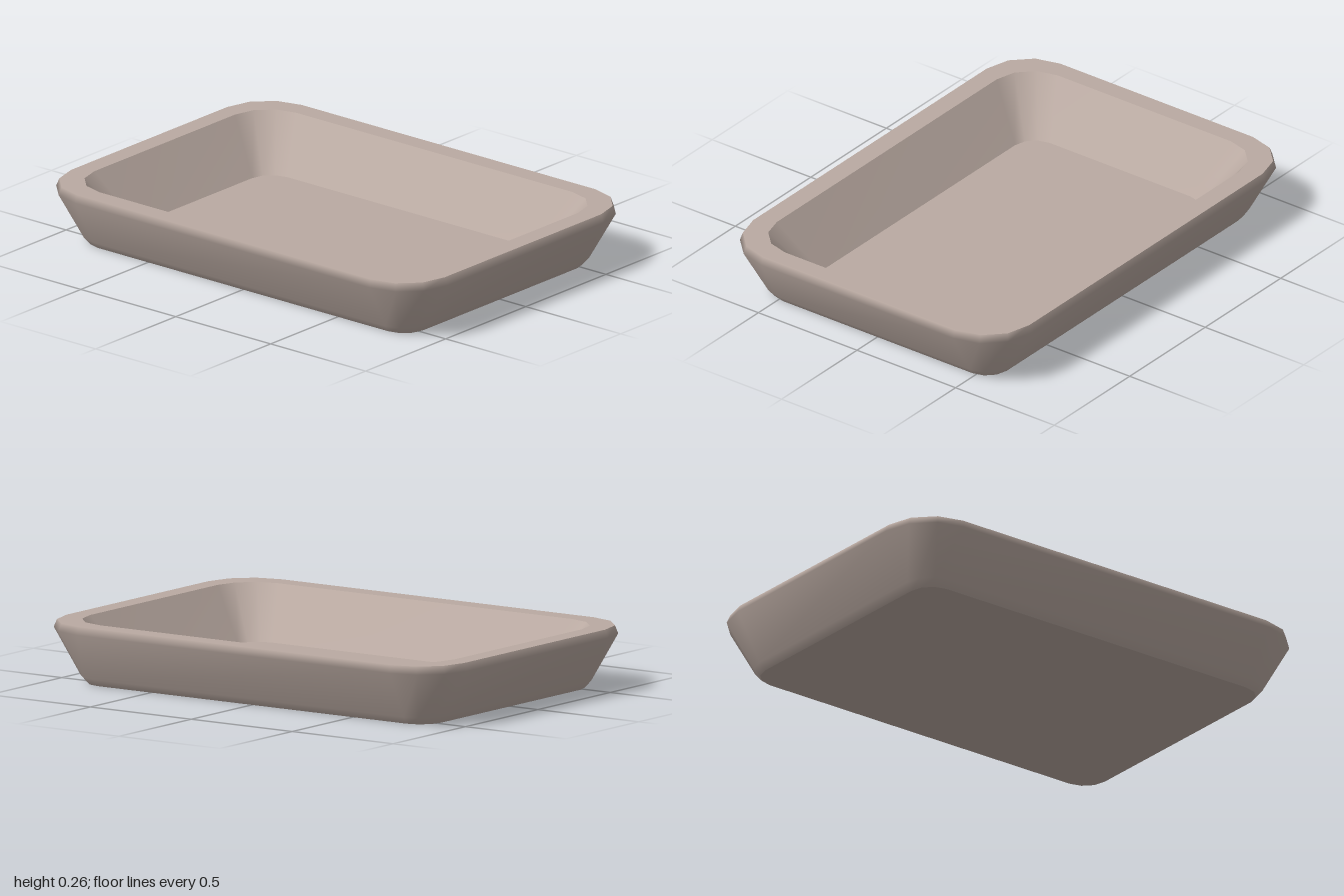
import * as THREE from 'three';

const CORNER_STEPS = 3;

// Rounded rectangle outline at height y, with half sizes hx, hz and corner radius r
function ring([y, hx, hz, r]) {
  const points = [];
  for (let q = 0; q < 4; q++) {
    const sx = q === 0 || q === 3 ? 1 : -1;
    const sz = q < 2 ? 1 : -1;
    for (let i = 0; i <= CORNER_STEPS; i++) {
      const t = (q + i / CORNER_STEPS) * Math.PI / 2;
      points.push([sx * (hx - r) + r * Math.cos(t), y, sz * (hz - r) + r * Math.sin(t)]);
    }
  }
  return points;
}

// Smooth skin through a series of outlines
function loft(name, sections, material) {
  const rings = sections.map(ring);
  const n = rings[0].length;
  const index = [];
  for (let k = 0; k < rings.length - 1; k++) {
    for (let i = 0; i < n; i++) {
      const a = k * n + i, b = k * n + (i + 1) % n;
      index.push(a, a + n, b, b, a + n, b + n);
    }
  }
  const geometry = new THREE.BufferGeometry();
  geometry.setAttribute('position', new THREE.Float32BufferAttribute(rings.flat(2), 3));
  geometry.setIndex(index);
  geometry.computeVertexNormals();
  const mesh = new THREE.Mesh(geometry, material);
  mesh.name = name;
  return mesh;
}

export function createModel() {
  const clay = new THREE.MeshStandardMaterial({ color: 0xbaaaa2 });
  clay.name = 'warm grey clay';

  // Outlines: height, half width, half depth, corner radius
  const base = [0, 0.865, 0.58, 0.1];
  const foot = [0.03, 0.89, 0.605, 0.12];
  const shoulder = [0.225, 1, 0.71, 0.225];
  const rimOuter = [0.257, 0.985, 0.7, 0.212];
  const rimInner = [0.257, 0.903, 0.615, 0.175];
  const floor = [0.045, 0.743, 0.457, 0.1];

  const tray = new THREE.Group();
  tray.name = 'tray';
  tray.add(
    loft('underside', [[0, 0, 0, 0], base], clay),
    loft('outerWall', [base, foot, shoulder, rimOuter], clay),
    loft('rim', [rimOuter, rimInner], clay),
    loft('innerWall', [rimInner, floor], clay),
    loft('trayFloor', [floor, [floor[0], 0, 0, 0]], clay),
  );
  return tray;
}
